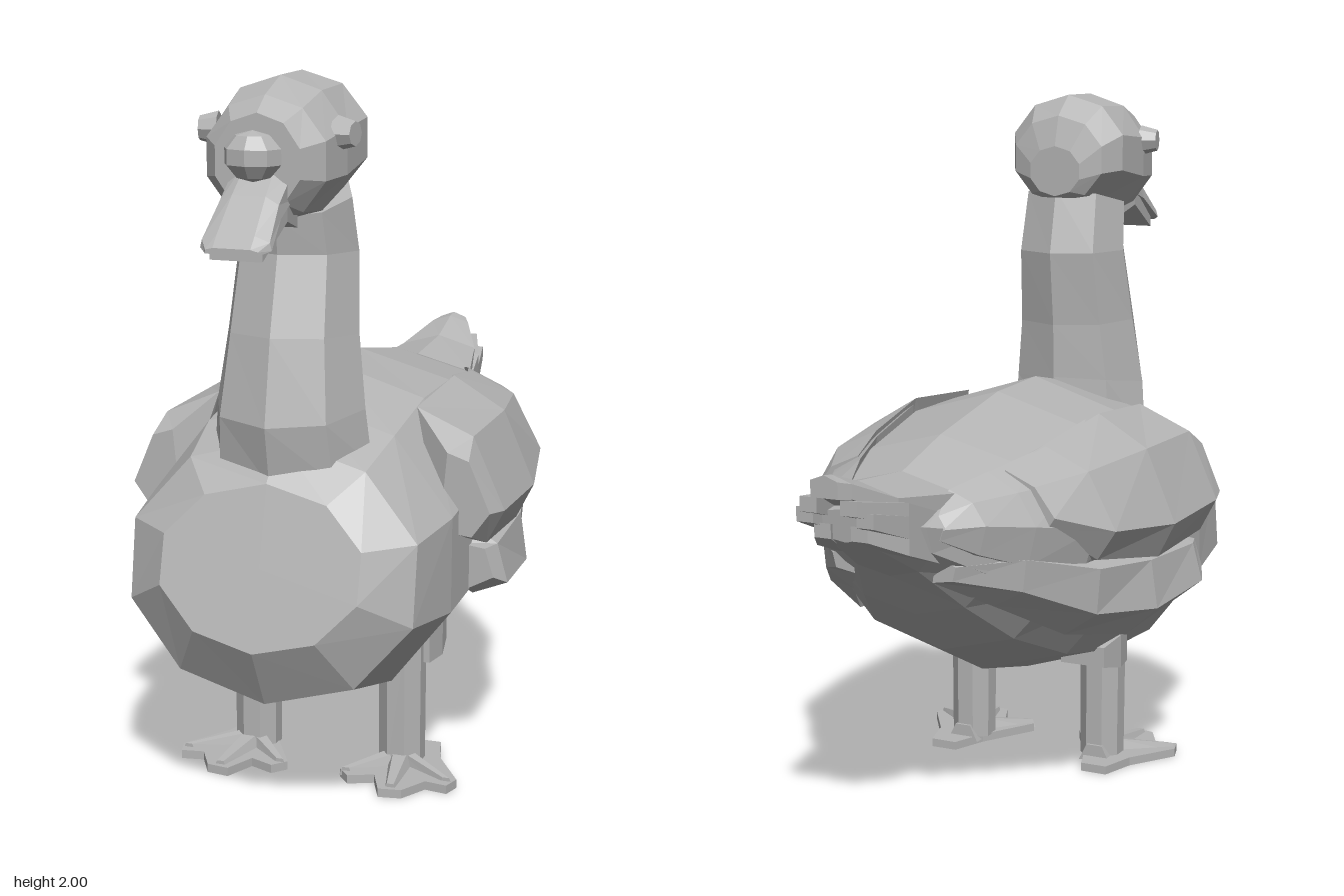
import * as THREE from 'three';

const grey = new THREE.MeshStandardMaterial({ color: 0xb4b4b4, flatShading: true });
grey.name = 'plain grey';

function part(name, geometry) {
  const g = geometry.index ? geometry.toNonIndexed() : geometry;
  g.computeVertexNormals();
  const m = new THREE.Mesh(g, grey);
  m.name = name;
  return m;
}

// Skin a list of closed rings and cap both ends, always facing outward
function loft(name, rings) {
  const n = rings[0].length, pts = rings.flat(), tris = [];
  const ringStart = (i) => i * n;
  for (let i = 0; i < rings.length - 1; i++) {
    for (let j = 0; j < n; j++) {
      const k = (j + 1) % n, a = ringStart(i), b = ringStart(i + 1);
      tris.push([a + j, a + k, b + k], [a + j, b + k, b + j]);
    }
  }
  for (const [i, flip] of [[0, false], [rings.length - 1, true]]) {
    const c = pts.length;
    pts.push([0, 1, 2].map((d) => rings[i].reduce((s, p) => s + p[d], 0) / n));
    for (let j = 0; j < n; j++) {
      const p = ringStart(i) + j, q = ringStart(i) + (j + 1) % n;
      tris.push(flip ? [c, p, q] : [c, q, p]);
    }
  }
  const v = pts.map((p) => new THREE.Vector3(...p));
  let volume = 0;
  for (const [a, b, c] of tris) volume += v[a].dot(v[b].clone().cross(v[c]));
  if (volume < 0) tris.forEach((t) => t.reverse());
  const g = new THREE.BufferGeometry().setFromPoints(v);
  g.setIndex(tris.flat());
  return part(name, g);
}

// Oval ring through a bottom and a top point on the centre plane
function oval([zb, yb, zt, yt, w], sides) {
  return Array.from({ length: sides }, (_, i) => {
    const a = (i / sides) * Math.PI * 2, t = (1 - Math.cos(a)) / 2;
    return [Math.sin(a) * w, yb + (yt - yb) * t, zb + (zt - zb) * t];
  });
}
const ovals = (name, list, sides) => loft(name, list.map((r) => oval(r, sides)));

// Sections of [z, [x, y], ...] pairs, placed on one side of the body
const sections = (name, list, side = 1) =>
  loft(name, list.map(([z, ...p]) => p.map(([x, y]) => [x * side, y, z])));

// Box-like bar: stations of [x, z, halfWidth, yBottom, yTop, topWidthRatio]
const bar = (name, list) => loft(name, list.map(([x, z, w, y0, y1, r = 1]) =>
  [[x - w, y0, z], [x + w, y0, z], [x + w * r, y1, z], [x - w * r, y1, z]]));

function makeWing(s) {
  const wing = new THREE.Group();
  wing.name = s > 0 ? 'leftWing' : 'rightWing';
  // Upper covert feathers
  wing.add(sections('wingCoverts', [
    [0.45, [0.40, 0.99], [0.46, 0.97], [0.52, 0.83], [0.47, 0.76], [0.38, 0.77]],
    [0.37, [0.29, 1.09], [0.45, 1.02], [0.54, 0.82], [0.49, 0.725], [0.38, 0.74]],
    [0.05, [0.30, 1.11], [0.45, 1.02], [0.54, 0.81], [0.49, 0.71], [0.38, 0.72]],
    [-0.24, [0.27, 1.06], [0.40, 1.00], [0.485, 0.84], [0.43, 0.755], [0.32, 0.74]],
    [-0.41, [0.23, 1.02], [0.32, 0.98], [0.38, 0.90], [0.36, 0.87], [0.25, 0.86]],
  ], s));
  // Long flight feathers reaching back
  wing.add(sections('flightFeathers', [
    [0.0, [0.28, 1.10], [0.40, 1.00], [0.46, 0.84], [0.42, 0.74], [0.32, 0.74]],
    [-0.27, [0.25, 1.05], [0.37, 0.98], [0.44, 0.85], [0.41, 0.75], [0.30, 0.75]],
    [-0.45, [0.20, 1.02], [0.29, 0.97], [0.345, 0.88], [0.32, 0.77], [0.22, 0.77]],
    [-0.58, [0.15, 0.99], [0.22, 0.96], [0.26, 0.90], [0.24, 0.82], [0.15, 0.81]],
    [-0.67, [0.12, 0.93], [0.15, 0.93], [0.18, 0.90], [0.17, 0.87], [0.12, 0.87]],
  ], s));
  // Lower feather layer
  wing.add(sections('lowerFeathers', [
    [0.35, [0.40, 0.71], [0.48, 0.70], [0.505, 0.62], [0.43, 0.58]],
    [0.29, [0.40, 0.76], [0.50, 0.70], [0.53, 0.59], [0.43, 0.55]],
    [0.0, [0.38, 0.76], [0.49, 0.71], [0.51, 0.57], [0.41, 0.48]],
    [-0.24, [0.33, 0.78], [0.44, 0.73], [0.43, 0.60], [0.33, 0.53]],
    [-0.46, [0.23, 0.81], [0.32, 0.79], [0.31, 0.70], [0.22, 0.65]],
    [-0.62, [0.13, 0.81], [0.19, 0.79], [0.18, 0.75], [0.12, 0.74]],
  ], s));
  return wing;
}

function makeLeg(s) {
  const leg = new THREE.Group();
  leg.name = s > 0 ? 'leftLeg' : 'rightLeg';
  const shank = part('shank', new THREE.CylinderGeometry(0.068, 0.066, 0.36, 8).rotateY(Math.PI / 8));
  shank.position.set(s * 0.22, 0.2, 0.27);
  const thigh = bar('thigh', [
    [s * 0.22, 0.27, 0.08, 0.32, 0.40], [s * 0.23, 0.19, 0.085, 0.32, 0.42], [s * 0.23, 0.10, 0.07, 0.34, 0.40],
  ]);
  // Webbed foot with notches between three toes
  const outline = [[-0.03, 0.13], [0.05, 0.13], [0.08, 0.24], [0.17, 0.38], [0.155, 0.43], [0.09, 0.42],
    [0.045, 0.50], [-0.02, 0.51], [-0.06, 0.42], [-0.13, 0.45], [-0.165, 0.41], [-0.07, 0.24]];
  const web = new THREE.Shape(outline.map(([x, z]) => new THREE.Vector2(s * (x + 0.005), -z)));
  const foot = part('webbedFoot', new THREE.ExtrudeGeometry(web, { depth: 0.025, bevelEnabled: false }).rotateX(-Math.PI / 2));
  foot.position.x = s * 0.24;
  leg.add(shank, thigh, foot);
  // Raised toe ridges
  for (const [x, z] of [[0.39, 0.40], [0.255, 0.49], [0.10, 0.42]]) {
    leg.add(bar('toe', [[s * 0.225, 0.20, 0.05, 0.01, 0.06, 0.5],
      [s * 0.225, 0.29, 0.045, 0.01, 0.06, 0.5], [s * x, z, 0.02, 0.01, 0.035, 0.5]]));
  }
  return leg;
}

export function createModel() {
  const goose = new THREE.Group();
  goose.name = 'goose';

  goose.add(ovals('body', [
    [0.88, 0.52, 0.76, 0.95, 0.29], [0.79, 0.35, 0.67, 1.05, 0.42], [0.52, 0.27, 0.50, 1.12, 0.455],
    [0.20, 0.28, 0.25, 1.17, 0.46], [-0.10, 0.35, 0.0, 1.16, 0.455], [-0.34, 0.47, -0.35, 1.09, 0.38],
    [-0.50, 0.61, -0.58, 1.02, 0.27], [-0.64, 0.75, -0.75, 1.00, 0.16], [-0.87, 0.89, -0.88, 0.98, 0.09],
  ], 10));

  goose.add(ovals('neck', [
    [0.38, 1.0, 0.74, 0.94, 0.225], [0.375, 1.15, 0.77, 1.10, 0.21], [0.37, 1.31, 0.725, 1.33, 0.185],
    [0.345, 1.53, 0.665, 1.54, 0.17], [0.385, 1.72, 0.68, 1.64, 0.16],
  ], 8));

  goose.add(ovals('head', [
    [0.80, 1.67, 0.80, 1.92, 0.12], [0.74, 1.635, 0.74, 1.96, 0.17], [0.63, 1.62, 0.63, 2.0, 0.19],
    [0.47, 1.66, 0.47, 2.0, 0.19], [0.40, 1.68, 0.40, 1.94, 0.15], [0.375, 1.70, 0.375, 1.85, 0.085],
  ], 10));

  // Bill: two halves and the knob at its base
  goose.add(sections('upperBill', [
    [0.76, [-0.08, 1.70], [0.08, 1.70], [0.08, 1.77], [0.04, 1.80], [-0.04, 1.80], [-0.08, 1.77]],
    [0.86, [-0.085, 1.665], [0.085, 1.665], [0.08, 1.70], [0.045, 1.72], [-0.045, 1.72], [-0.08, 1.70]],
    [0.95, [-0.095, 1.60], [0.095, 1.60], [0.09, 1.62], [0.05, 1.635], [-0.05, 1.635], [-0.09, 1.62]],
    [0.98, [-0.07, 1.59], [0.07, 1.59], [0.07, 1.60], [0.05, 1.605], [-0.05, 1.605], [-0.07, 1.60]],
  ]));
  goose.add(bar('lowerBill', [
    [0, 0.70, 0.07, 1.62, 1.70], [0, 0.80, 0.08, 1.65, 1.70], [0, 0.95, 0.07, 1.57, 1.60],
  ]));
  const knob = part('billKnob', new THREE.SphereGeometry(1, 8, 5));
  knob.scale.set(0.08, 0.065, 0.06);
  knob.position.set(0, 1.815, 0.83);
  goose.add(knob);

  // Tail ridge and layered feathers
  goose.add(sections('tailTop', [
    [-0.57, [-0.17, 0.92], [0.17, 0.92], [0.17, 0.98], [0, 1.025], [-0.17, 0.98]],
    [-0.80, [-0.12, 0.96], [0.12, 0.96], [0.12, 1.005], [0, 1.04], [-0.12, 1.005]],
    [-0.93, [-0.06, 1.02], [0.06, 1.02], [0.06, 1.06], [0, 1.08], [-0.06, 1.06]],
    [-0.97, [-0.04, 1.025], [0.04, 1.025], [0.04, 1.07], [0, 1.085], [-0.04, 1.07]],
  ]));
  for (const s of [1, -1]) {
    for (const [x, z, y] of [[0.06, -0.95, 0.98], [0.09, -0.92, 0.945], [0.055, -0.89, 0.90]]) {
      goose.add(bar('tailFeather', [
        [s * 0.11, -0.58, 0.05, y - 0.12, y - 0.06], [s * 0.10, -0.78, 0.04, y - 0.05, y + 0.01],
        [s * x, z, 0.025, y, y + 0.04],
      ]));
    }
  }

  for (const s of [1, -1]) {
    goose.add(makeWing(s), makeLeg(s));
    const eye = part(s > 0 ? 'leftEye' : 'rightEye', new THREE.CylinderGeometry(0.032, 0.045, 0.05, 8).rotateZ(-Math.PI / 2));
    eye.scale.x = s;
    eye.geometry.computeVertexNormals();
    eye.position.set(s * 0.188, 1.86, 0.655);
    eye.rotation.y = -s * 0.2;
    goose.add(eye);
  }
  return goose;
}
